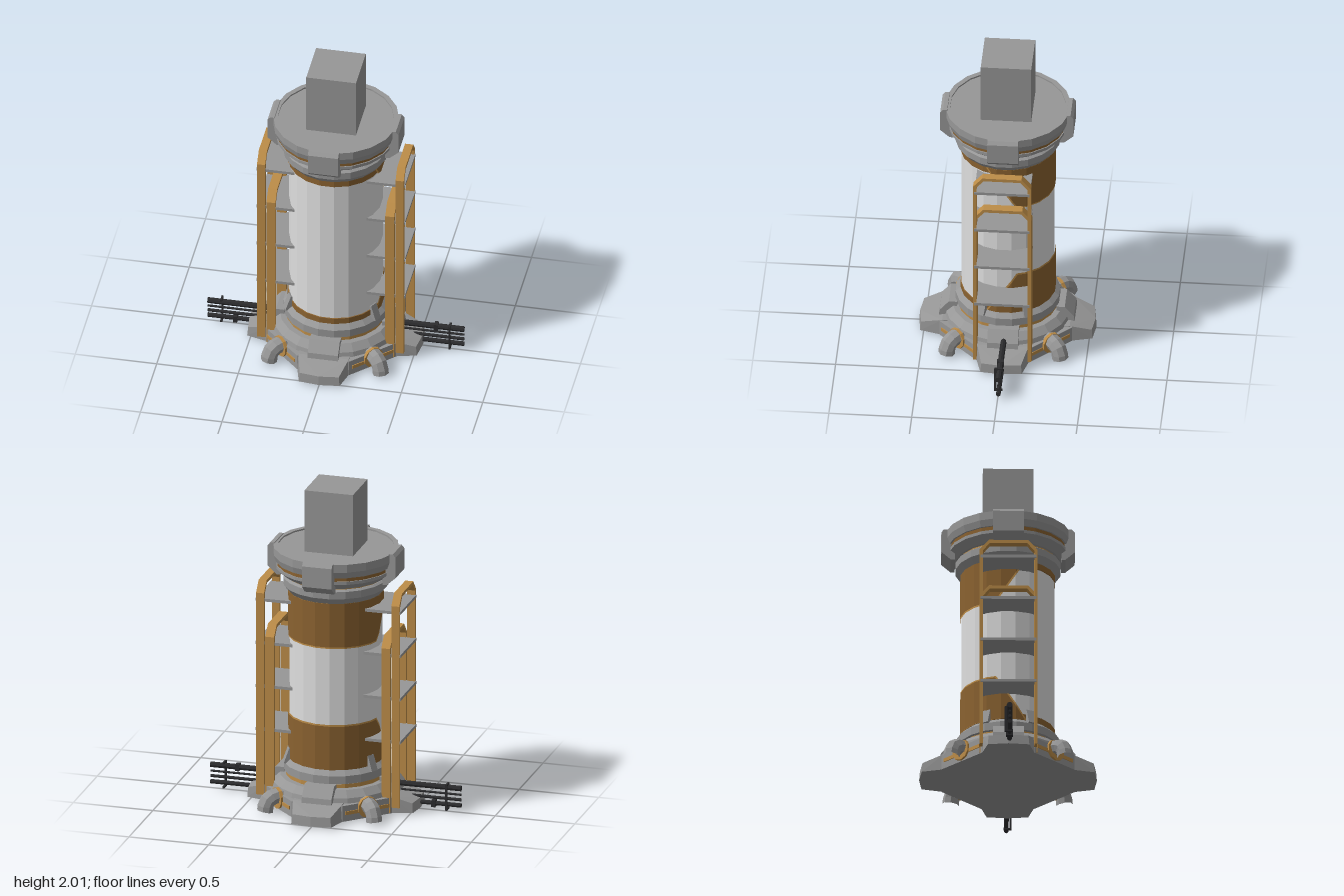
import * as THREE from 'three';
import { ConvexGeometry } from 'three/addons/geometries/ConvexGeometry.js';

const SIDES = 20, HALF = Math.PI / SIDES, K = 1 / Math.cos(HALF);

export function createModel() {
  const mat = (name, color) => {
    const m = new THREE.MeshStandardMaterial({ color });
    m.name = name;
    return m;
  };
  const grey = mat('metal grey', 0x979797);
  const white = mat('tank white', 0xdedede);
  const gold = mat('frame gold', 0xbd8d48);
  const brown = mat('panel brown', 0x8a6230);
  const black = mat('pipe black', 0x2c2c2e);
  const model = new THREE.Group();
  model.name = 'tankTower';

  // Adds a faceted mesh
  const add = (name, geo, material, parent = model) => {
    const g = geo.index ? geo.toNonIndexed() : geo;
    g.computeVertexNormals();
    const mesh = new THREE.Mesh(g, material);
    mesh.name = name;
    parent.add(mesh);
    return mesh;
  };
  const group = (name, angle = 0) => {
    const g = new THREE.Group();
    g.name = name;
    g.rotation.y = angle;
    model.add(g);
    return g;
  };
  const box = (w, h, d, x, y, z) => new THREE.BoxGeometry(w, h, d).translate(x, y, z);
  const convex = pts => new ConvexGeometry(pts.map(p => new THREE.Vector3(...p)));
  // Profile given as [distance to flat side, height], bottom to top
  const ring = (name, pts, material) => add(name, new THREE.LatheGeometry(
    pts.map(([r, y]) => new THREE.Vector2(r * K, y)), SIDES, HALF), material);

  // Tank body, bands and collars
  ring('deck', [[0.385, 0.09], [0.375, 0.13], [0.335, 0.17], [0.2, 0.17]], grey);
  ring('deckBand', [[0.3, 0.165], [0.3, 0.195]], gold);
  ring('lowerCollar', [[0.28, 0.19], [0.312, 0.2], [0.312, 0.25], [0.28, 0.28], [0.26, 0.28]], grey);
  ring('tank', [[0.278, 0.27], [0.278, 1.35]], white);
  ring('lowerBand', [[0.278, 0.278], [0.283, 0.28], [0.283, 0.318], [0.278, 0.32]], brown);
  ring('upperBand', [[0.278, 1.3], [0.283, 1.302], [0.283, 1.34], [0.278, 1.342]], brown);
  ring('upperCollar', [[0.27, 1.338], [0.283, 1.34], [0.315, 1.38], [0.315, 1.425], [0.3, 1.435], [0.25, 1.435]], grey);
  ring('neckBand', [[0.295, 1.43], [0.295, 1.45]], gold);
  ring('crownBase', [[0.28, 1.445], [0.31, 1.445], [0.358, 1.485], [0.358, 1.505], [0.3, 1.505]], grey);
  ring('crownBand', [[0.352, 1.5], [0.352, 1.535]], brown);
  ring('crown', [[0.34, 1.53], [0.362, 1.53], [0.375, 1.57], [0.375, 1.62], [0.345, 1.62], [0.345, 1.61], [0, 1.61]], grey);
  add('topBlock', box(0.305, 0.4, 0.305, 0, 1.8, 0), grey);

  // Back panels that wrap the tank, with slanted ends
  const panel = (name, r, yEdge, yTip, grow, material) => {
    const deg = Math.PI / 180, pos = [];
    const start = -20.5 - grow * 200, full = 16.3 - grow * 100;
    const angles = [start, -9, 9, full];
    for (let a = 27; a < 160; a += 18) angles.push(a);
    angles.push(180 - full, 171, 189, 180 - start);
    angles.sort((a, b) => a - b);
    const point = a => {
      const off = ((a + 9 + 360) % 18 - 9) * deg;
      const d = r / Math.cos(off);
      const t = Math.min(1, ((a > 90 ? 180 - a : a) - start) / (full - start));
      return [d * Math.cos(a * deg), yEdge + (yTip - yEdge) * t, -d * Math.sin(a * deg), yEdge];
    };
    for (let i = 0; i < angles.length - 1; i++) {
      const p = point(angles[i]), q = point(angles[i + 1]);
      const low = c => [c[0], Math.min(c[1], c[3]), c[2]];
      const high = c => [c[0], Math.max(c[1], c[3]), c[2]];
      pos.push(...low(p), ...low(q), ...high(q), ...low(p), ...high(q), ...high(p));
    }
    const g = new THREE.BufferGeometry();
    g.setAttribute('position', new THREE.Float32BufferAttribute(pos, 3));
    add(name, g, material);
  };
  panel('upperPanelTrim', 0.285, 1.34, 1.052, 0.012, gold);
  panel('upperPanel', 0.287, 1.34, 1.062, 0, brown);
  panel('lowerPanelTrim', 0.285, 0.28, 0.567, 0.012, gold);
  panel('lowerPanel', 0.287, 0.28, 0.557, 0, brown);

  // Base core
  const core = [];
  for (const y of [0, 0.1]) for (const sx of [-1, 1]) for (const sz of [-1, 1]) {
    core.push([sx * 0.16, y, sz * 0.4], [sx * 0.4, y, sz * 0.16]);
  }
  add('baseCore', convex(core), grey);

  // Feet and brackets on four sides, elbow pipes on the diagonals
  for (let i = 0; i < 4; i++) {
    const side = group('baseSide', i * Math.PI / 2);
    const foot = [[0, 0, 0.535], [0, 0.06, 0.53]];
    const bracketLow = [], bracketTop = [];
    for (const s of [-1, 1]) {
      foot.push([s * 0.125, 0, 0.52], [s * 0.12, 0.06, 0.515], [s * 0.16, 0, 0.39],
        [s * 0.155, 0.105, 0.385], [s * 0.16, 0, 0.3], [s * 0.155, 0.105, 0.3]);
      const x = s * 0.093;
      bracketLow.push([x, 0.1, 0.3], [x, 0.1, 0.41], [x, 0.135, 0.405], [x, 0.2, 0.35], [x, 0.2, 0.3]);
      bracketTop.push([x, 1.425, 0.32], [x, 1.425, 0.345], [x, 1.475, 0.402], [x, 1.605, 0.402],
        [x, 1.625, 0.385], [x, 1.625, 0.36], [x, 1.5, 0.32]);
    }
    add('foot', convex(foot), grey, side);
    add('lowerBracket', convex(bracketLow), grey, side);
    add('crownBracket', convex(bracketTop), grey, side);

    const corner = group('baseCorner', i * Math.PI / 2 + Math.PI / 4);
    const path = new THREE.CatmullRomCurve3([[0.34, 0.082], [0.43, 0.082], [0.473, 0.055], [0.485, 0]]
      .map(([z, y]) => new THREE.Vector3(0, y, z)));
    add('elbowPipe', new THREE.TubeGeometry(path, 6, 0.05, 8), grey, corner);
    add('pipeCollar', new THREE.CylinderGeometry(0.066, 0.066, 0.02, 10)
      .rotateX(Math.PI / 2).translate(0, 0.07, 0.4), gold, corner);
    add('wallStripe', box(0.3, 0.022, 0.008, 0, 0.052, 0.397), gold, corner);
  }

  // Small lugs on the lower collar
  for (const a of [27, 153, 207, 333]) {
    const lug = add('collarLug', box(0.035, 0.1, 0.05, 0, 0, 0).rotateZ(0.35).translate(0.29, 0.295, 0), grey);
    lug.rotation.y = a * Math.PI / 180;
  }

  // Arched gantry frame, drawn in z and y, then turned to run along x
  const frame = (top, bottom, x0, depth) => {
    const w = 0.175, c = 0.118, t = 0.02;
    const s = new THREE.Shape([[-w, bottom], [-w + t, bottom], [-w + t, top - 0.072], [-c + 0.006, top - t],
      [c - 0.006, top - t], [w - t, top - 0.072], [w - t, bottom], [w, bottom], [w, top - 0.065],
      [c, top], [-c, top], [-w, top - 0.065]].map(p => new THREE.Vector2(...p)));
    return new THREE.ExtrudeGeometry(s, { depth, bevelEnabled: false })
      .rotateY(Math.PI / 2).translate(x0, 0, 0);
  };
  const rod = (y, r) => new THREE.CylinderGeometry(r, r, 0.405, 8)
    .rotateZ(Math.PI / 2).translate(0.583, y, -0.005);

  for (const [name, angle] of [['left', 0], ['right', Math.PI]]) {
    const g = group(name + 'Gantry', angle);
    add('tallFrame', frame(1.39, 0.04, 0.4, 0.05), gold, g);
    add('shortFrame', frame(1.115, 0.005, 0.337, 0.055), gold, g);
    for (const y of [0.455, 0.73, 1.005, 1.28]) {
      add('shelf', box(0.24, 0.018, 0.335, 0.335, y, 0), grey, g);
    }
    // Supply pipes with a clamp post
    for (const [y, r] of [[0.14, 0.018], [0.1, 0.007], [0.068, 0.01], [0.032, 0.014]]) {
      add('supplyPipe', rod(y, r), black, g);
    }
    add('clampPost', box(0.012, 0.165, 0.012, 0.7, 0.0825, 0.02), black, g);
    add('clampFoot', box(0.012, 0.012, 0.045, 0.7, 0.006, 0), black, g);
    add('clampHead', box(0.012, 0.012, 0.045, 0.7, 0.16, 0), black, g);
    add('pipeJoint', box(0.025, 0.042, 0.042, 0.615, angle ? 0.032 : 0.14, -0.005), black, g);
  }
  return model;
}
